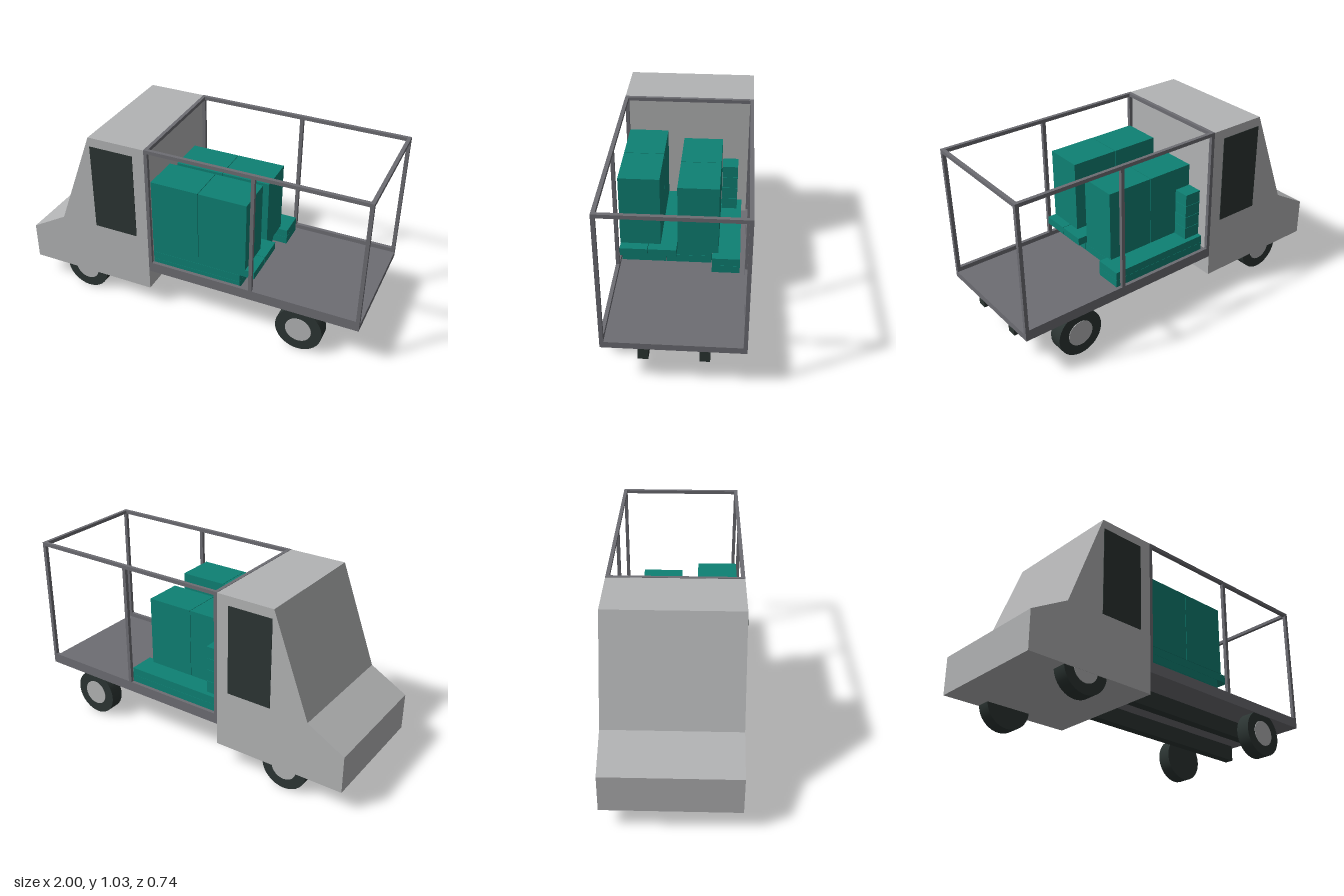
import * as THREE from 'three';

const mat = (name, color) => {
  const m = new THREE.MeshStandardMaterial({ color });
  m.name = name;
  return m;
};

export function createModel() {
  const truck = new THREE.Group();
  truck.name = 'cargoTruck';
  const body = mat('light grey body', 0xb3b4b5);
  const steel = mat('steel grey frame', 0x6d6d73);
  const dark = mat('charcoal', 0x2c3533);
  const teal = mat('teal cargo', 0x0e8174);

  // Box given by its minimum and maximum on each axis
  const box = (name, material, [x0, x1], [y0, y1], [z0, z1], parent = truck) => {
    const mesh = new THREE.Mesh(new THREE.BoxGeometry(x1 - x0, y1 - y0, z1 - z0), material);
    mesh.position.set((x0 + x1) / 2, (y0 + y1) / 2, (z0 + z1) / 2);
    mesh.name = name;
    parent.add(mesh);
    return mesh;
  };
  const group = (name) => {
    const g = new THREE.Group();
    g.name = name;
    truck.add(g);
    return g;
  };

  // Cab: side profile extruded across the full width
  const W = 0.365;
  const profile = [[-1, 0.12], [-0.232, 0.12], [-0.232, 1.028], [-0.57, 1.028], [-0.785, 0.458], [-1, 0.335]];
  const cabGeo = new THREE.ExtrudeGeometry(
    new THREE.Shape(profile.map(([x, y]) => new THREE.Vector2(x, y))),
    { depth: 2 * W, bevelEnabled: false });
  cabGeo.translate(0, 0, -W);
  const cab = new THREE.Mesh(cabGeo, body);
  cab.name = 'cab';
  truck.add(cab);

  // Side windows
  for (const s of [-1, 1]) {
    const z = s * W;
    box('sideWindow', dark, [-0.563, -0.302], [0.465, 0.975], [z - 0.003, z + 0.003]);
  }

  // Load bed with raised side rails
  const frame = group('cargoFrame');
  box('bedFloor', steel, [-0.232, 1], [0.245, 0.28], [-W, W], frame);
  const t = 0.02;
  for (const s of [-1, 1]) {
    const z = s > 0 ? [W - t, W] : [-W, -W + t];
    box('bedSideRail', steel, [-0.232, 1], [0.246, 0.305], z, frame);
    box('roofSideRail', steel, [-0.232, 1], [1.01, 1.03], z, frame);
    for (const x of [-0.232, 0.376, 0.98])
      box('post', steel, [x, x + t], [0.28, 1.03], z, frame);
  }
  for (const x of [-0.232, 0.98])
    box('roofCrossRail', steel, [x, x + t], [1.01, 1.03], [-W, W], frame);

  // Chassis beams
  for (const s of [-1, 1])
    box('chassisBeam', dark, [-0.232, 0.967], [0.15, 0.245], [s * 0.155 - 0.027, s * 0.155 + 0.027]);

  // Wheels: tyre with a pale hub on the outer face
  const tyreGeo = new THREE.CylinderGeometry(0.133, 0.133, 0.08, 40).rotateX(Math.PI / 2);
  const hubGeo = new THREE.CylinderGeometry(0.074, 0.074, 0.012, 32).rotateX(Math.PI / 2);
  for (const x of [-0.657, 0.672]) for (const s of [-1, 1]) {
    const wheel = group('wheel');
    wheel.position.set(x, 0.133, s * 0.32);
    const tyre = new THREE.Mesh(tyreGeo, dark);
    tyre.name = 'tyre';
    const hub = new THREE.Mesh(hubGeo, body);
    hub.name = 'hub';
    hub.position.z = s * 0.037;
    wheel.add(tyre, hub);
  }

  // Cargo: flat cartons in two layers on the floor
  const cargo = group('cargo');
  const back = -0.21;
  for (const [end, z] of [[0.315, [0.094, 0.34]], [0.315, [-0.16, 0.09]], [0.4, [-0.317, -0.164]]])
    for (const y of [0.28, 0.326])
      box('flatCarton', teal, [back, end], [y, y + 0.045], z, cargo);
  // Long cartons on top of them
  for (const z of [[0.189, 0.34], [0.031, 0.186]])
    box('longCarton', teal, [back, 0.4], [0.372, 0.416], z, cargo);
  // Two rows of tall boxes
  for (const x of [[back, 0.067], [0.07, 0.347]]) {
    box('tallBox', teal, x, [0.417, 0.827], [0.12, 0.342], cargo);
    box('tallBox', teal, x, [0.372, 0.781], [-0.197, 0.027], cargo);
  }
  // Stack of small boxes
  for (let i = 0; i < 4; i++) {
    const y = 0.372 + i * 0.071;
    box('smallBox', teal, [back, -0.11], [y, y + 0.069], [-0.29, -0.201], cargo);
  }
  return truck;
}
